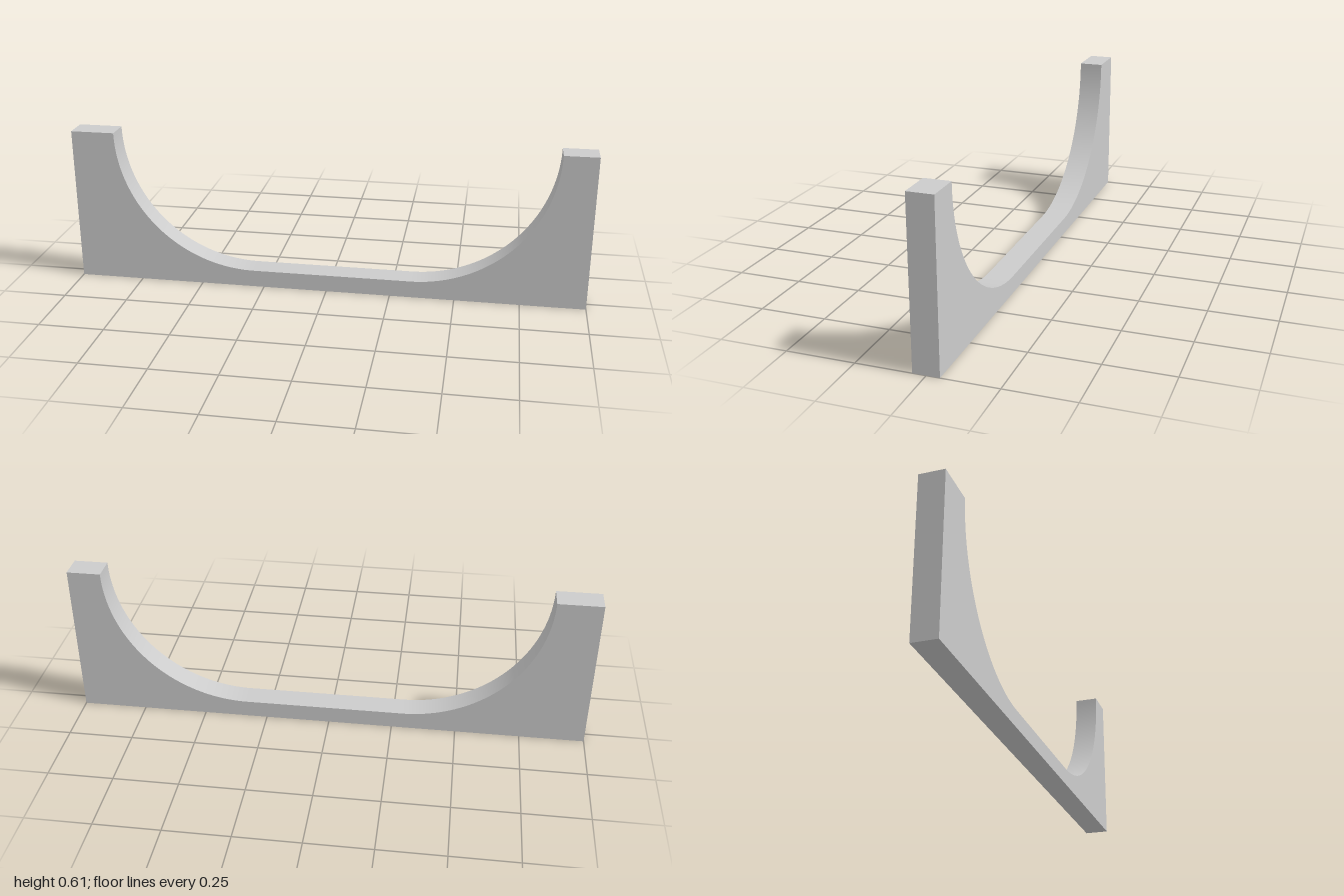
import * as THREE from 'three';
import { toCreasedNormals } from 'three/addons/utils/BufferGeometryUtils.js';

const HEIGHT = 0.607;
const DEPTH = 0.095;
const FLOOR = 0.067; // thickness of the thin middle bar
const RADIUS = HEIGHT - FLOOR;
const INNER_LEFT = 0.87; // inner faces of the two end posts
const INNER_RIGHT = -0.83;

export function createModel() {
  const group = new THREE.Group();
  group.name = 'cradleBracket';

  // Outline: flat base, two upright ends, quarter-round hollows down to the bar
  const outline = new THREE.Shape();
  outline.moveTo(-1, 0);
  outline.lineTo(1, 0);
  outline.lineTo(1, HEIGHT);
  outline.lineTo(INNER_LEFT, HEIGHT);
  outline.absarc(INNER_LEFT - RADIUS, HEIGHT, RADIUS, 0, -Math.PI / 2, true);
  outline.absarc(INNER_RIGHT + RADIUS, HEIGHT, RADIUS, -Math.PI / 2, -Math.PI, true);
  outline.lineTo(-1, HEIGHT);
  outline.closePath();

  const plate = new THREE.ExtrudeGeometry(outline, {
    depth: DEPTH,
    bevelEnabled: false,
    curveSegments: 24,
  });
  plate.translate(0, 0, -DEPTH / 2);

  // Smooth hollows, sharp outer edges
  const bracket = new THREE.Mesh(
    toCreasedNormals(plate, 0.5),
    new THREE.MeshStandardMaterial({ color: 0xcccccc })
  );
  bracket.name = 'bracketPlate';
  group.add(bracket);
  return group;
}
